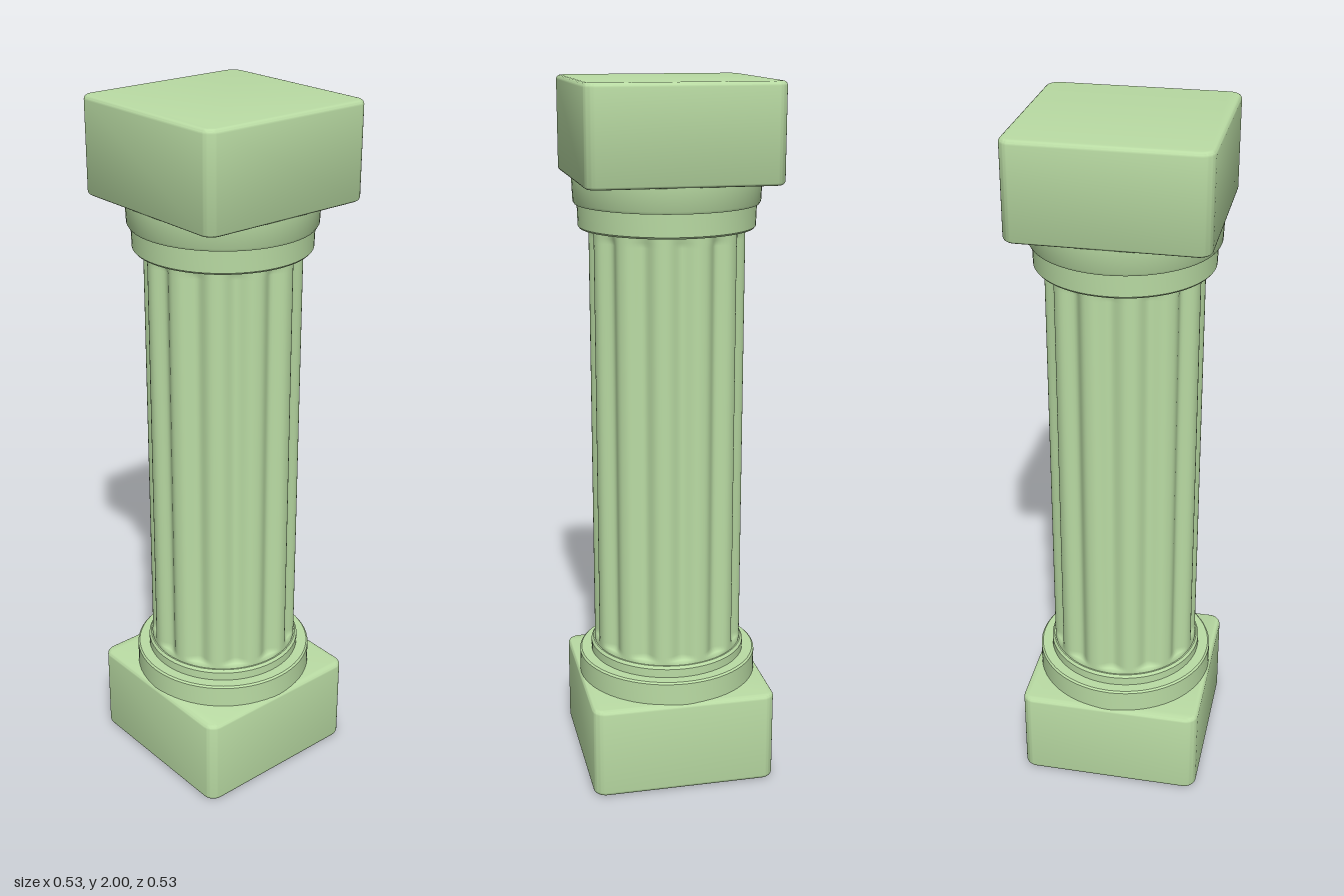
import * as THREE from 'three';
import { mergeVertices, toCreasedNormals } from 'three/addons/utils/BufferGeometryUtils.js';

const material = new THREE.MeshStandardMaterial({ color: 0xbadca4 });
const HALF = 0.267;

function addPart(group, name, geometry) {
  const mesh = new THREE.Mesh(geometry, material);
  mesh.name = name;
  group.add(mesh);
}

// Square block with rounded upright corners and finely eased edges
function blockGeometry(y0, y1) {
  const bevel = 0.012, a = HALF - bevel, r = 0.025;
  const shape = new THREE.Shape();
  shape.moveTo(a, -a + r);
  shape.absarc(a - r, a - r, r, 0, Math.PI / 2);
  shape.absarc(-a + r, a - r, r, Math.PI / 2, Math.PI);
  shape.absarc(-a + r, -a + r, r, Math.PI, Math.PI * 1.5);
  shape.absarc(a - r, -a + r, r, Math.PI * 1.5, Math.PI * 2);
  const geometry = new THREE.ExtrudeGeometry(shape, {
    depth: y1 - y0 - 2 * bevel, bevelSize: bevel, bevelThickness: bevel,
    bevelSegments: 4, curveSegments: 6,
  });
  geometry.rotateX(-Math.PI / 2).translate(0, y0 + bevel, 0);
  return toCreasedNormals(geometry, 0.7);
}

// Turned ring from a profile of [radius, y], bottom to top
function turned(profile) {
  const points = profile.map(([r, y]) => new THREE.Vector2(r, y));
  return toCreasedNormals(new THREE.LatheGeometry(points, 64), 0.5);
}

// Shaft with twelve rounded flutes that fade out at both ends
function shaftGeometry() {
  const flutes = 12, depth = 0.022, radius = 0.217;
  const rows = [[0.34, 0], [0.375, 0], [0.381, 0.5], [0.395, 1], [1.57, 1], [1.585, 0.8], [1.61, 0.6]];
  const points = rows.map(([y]) => new THREE.Vector2(radius, y));
  let geometry = new THREE.LatheGeometry(points, flutes * 14);
  const p = geometry.attributes.position;
  for (let i = 0; i < p.count; i++) {
    const angle = Math.atan2(p.getX(i), p.getZ(i));
    const groove = Math.pow((1 + Math.cos(flutes * angle)) / 2, 1.5);
    const r = radius - depth * rows[i % rows.length][1] * groove;
    p.setX(i, r * Math.sin(angle));
    p.setZ(i, r * Math.cos(angle));
  }
  geometry.deleteAttribute('uv');
  geometry.deleteAttribute('normal');
  geometry = mergeVertices(geometry, 1e-5);
  geometry.computeVertexNormals();
  return geometry;
}

export function createModel() {
  const group = new THREE.Group();
  group.name = 'column';

  // Foot
  addPart(group, 'plinth', blockGeometry(0, 0.27));
  addPart(group, 'baseRing', turned([
    [0.262, 0.26], [0.262, 0.333], [0.257, 0.338], [0, 0.338],
  ]));
  addPart(group, 'baseCollar', turned([
    [0.227, 0.335], [0.227, 0.363], [0.221, 0.371], [0, 0.371],
  ]));

  // Fluted shaft
  addPart(group, 'shaft', shaftGeometry());

  // Head
  addPart(group, 'capitalLowerRing', turned([
    [0, 1.602], [0.242, 1.602], [0.246, 1.607], [0.248, 1.67], [0, 1.67],
  ]));
  addPart(group, 'capitalUpperRing', turned([
    [0, 1.668], [0.255, 1.668], [0.259, 1.675], [0.262, 1.74],
  ]));
  addPart(group, 'abacus', blockGeometry(1.735, 2));
  return group;
}
